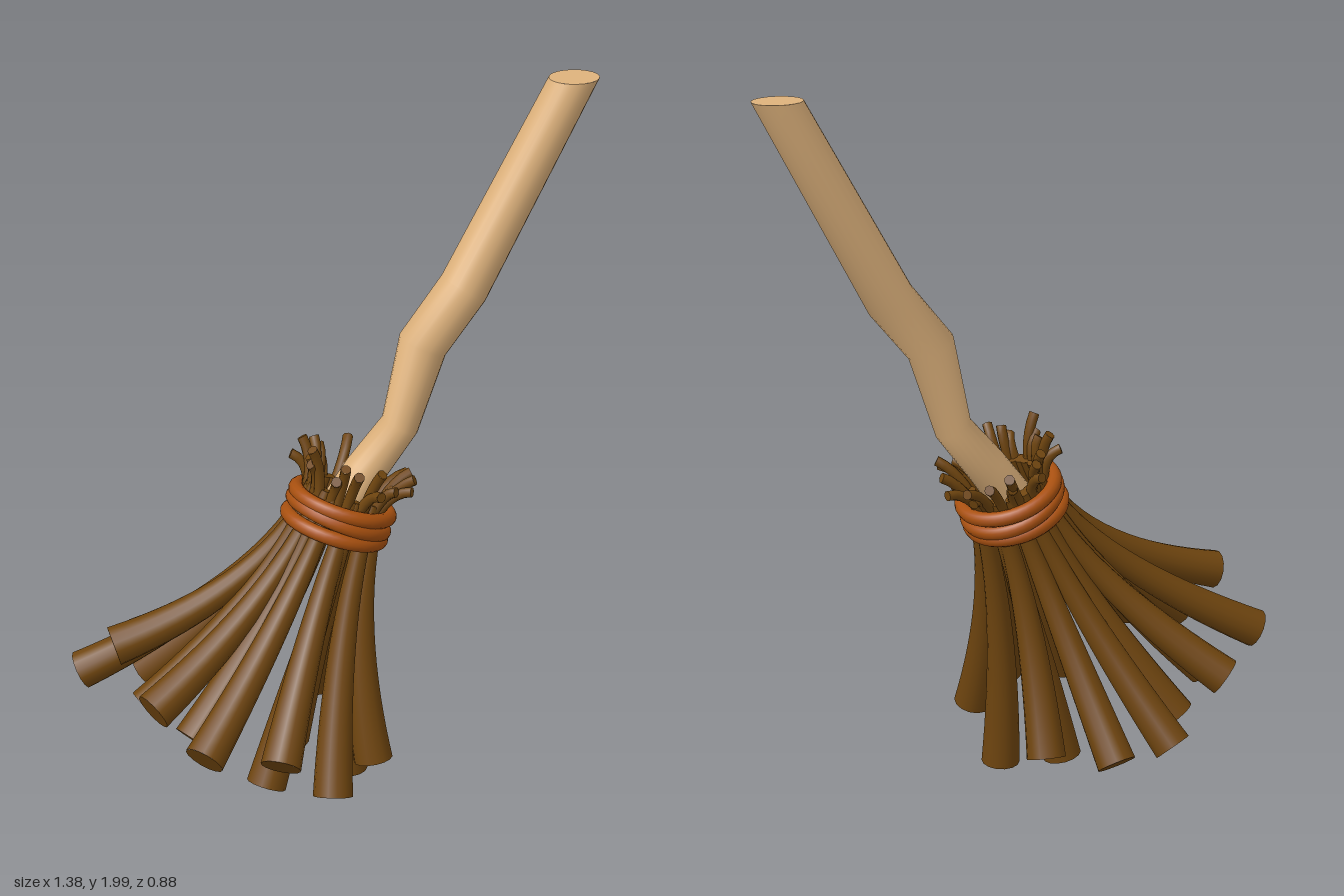
import * as THREE from 'three';
import { mergeGeometries } from 'three/addons/utils/BufferGeometryUtils.js';

const V = (x, y, z) => new THREE.Vector3(x, y, z);

// Capped tube whose radius follows radiusAt(u) along the curve
function taperedTube(curve, segments, sides, radiusAt) {
  const tube = new THREE.TubeGeometry(curve, segments, 1, sides);
  const pos = tube.attributes.position;
  const v = V(0, 0, 0);
  for (let i = 0; i <= segments; i++) {
    const p = curve.getPointAt(i / segments);
    for (let j = 0; j <= sides; j++) {
      const k = i * (sides + 1) + j;
      v.fromBufferAttribute(pos, k).sub(p).multiplyScalar(radiusAt(i / segments)).add(p);
      pos.setXYZ(k, v.x, v.y, v.z);
    }
  }
  const caps = [0, 1].map((u) => {
    const dir = curve.getTangentAt(u).multiplyScalar(u ? 1 : -1);
    const p = curve.getPointAt(u);
    return new THREE.CircleGeometry(radiusAt(u), sides)
      .applyQuaternion(new THREE.Quaternion().setFromUnitVectors(V(0, 0, 1), dir))
      .translate(p.x, p.y, p.z);
  });
  return mergeGeometries([tube, ...caps]);
}

export function createModel() {
  const model = new THREE.Group();
  const wood = new THREE.MeshStandardMaterial({ color: 0xdeb27c });
  const bark = new THREE.MeshStandardMaterial({ color: 0x6f450f });
  const cord = new THREE.MeshStandardMaterial({ color: 0xa8500f });
  const add = (name, geometry, material, parent = model) => {
    const mesh = new THREE.Mesh(geometry, material);
    mesh.name = name;
    parent.add(mesh);
    return mesh;
  };
  const addGroup = (name) => {
    const g = new THREE.Group();
    g.name = name;
    model.add(g);
    return g;
  };

  // Crooked handle: one ring of vertices per bend
  const bends = [
    V(-0.03, 0.8, 0.065), V(0.07, 0.935, 0.075), V(0.165, 1.06, 0.1),
    V(0.22, 1.295, 0.123), V(0.335, 1.44, 0.143), V(0.62, 1.99, 0.21),
  ];
  const handleRadii = [0.062, 0.058, 0.053, 0.068, 0.068, 0.06];
  const handleCurve = new THREE.CatmullRomCurve3(bends);
  handleCurve.getUtoTmapping = (u) => u;
  const handle = taperedTube(handleCurve, 5, 20, (u) => handleRadii[Math.round(u * 5)]);
  // Cut the top of the handle level
  const along = bends[5].clone().sub(bends[4]);
  const hp = handle.attributes.position;
  for (let i = 0; i < hp.count; i++) {
    if (hp.getY(i) < 1.8) continue;
    const t = (1.995 - hp.getY(i)) / along.y;
    hp.setXYZ(i, hp.getX(i) + along.x * t, 1.995, hp.getZ(i) + along.z * t);
  }
  // The top cap holds the last 22 vertices
  for (let i = hp.count - 22; i < hp.count; i++) handle.attributes.normal.setXYZ(i, 0, 1, 0);
  add('handle', handle, wood);

  // Tilted frame of the binding: axis up the broom, side across it
  const centre = V(-0.01, 0.82, 0.065);
  const axis = V(0.39, 0.92, 0).normalize();
  const side = V(axis.y, -axis.x, 0);
  const inBinding = (angle, radius, height) => centre.clone()
    .addScaledVector(side, Math.cos(angle) * radius)
    .addScaledVector(axis, height)
    .add(V(0, 0, Math.sin(angle) * radius));

  // Three cord loops
  const binding = addGroup('binding');
  [-0.035, 0, 0.035].forEach((h, i) => {
    const loop = add('cordLoop', new THREE.TorusGeometry(0.134, 0.021, 12, 40).rotateX(Math.PI / 2), cord, binding);
    loop.position.copy(centre).addScaledVector(axis, h);
    loop.rotation.z = Math.atan2(-axis.x, axis.y) + [0.03, -0.06, 0.03][i];
  });

  // Thick bristles sweeping out to their tips
  const tips = [
    [-0.66, 0.365, -0.25], [-0.42, 0.325, -0.38], [-0.21, 0.18, -0.4], [-0.045, 0.16, -0.355],
    [0.05, 0.135, -0.165], [-0.31, 0.21, -0.3], [-0.46, 0.3, -0.25], [-0.63, 0.51, -0.1],
    [-0.595, 0.36, 0.01], [-0.64, 0.43, 0.135], [-0.54, 0.325, 0.17], [-0.585, 0.355, 0.31],
    [-0.4, 0.315, 0.395], [-0.22, 0.14, 0.37], [-0.02, 0.13, 0.265], [-0.36, 0.16, 0.25],
    [0, 0.006, 0.107], [-0.1, 0.055, -0.05],
  ];
  const bristles = addGroup('bristles');
  for (const tip of tips) {
    const end = V(...tip);
    const out = end.clone().sub(centre);
    const angle = Math.atan2(out.z, out.dot(side));
    const curve = new THREE.QuadraticBezierCurve3(
      inBinding(angle, 0.1, 0.07), inBinding(angle, 0.11, -0.25), end);
    add('bristle', taperedTube(curve, 16, 14, (u) => 0.018 + 0.037 * u), bark, bristles);
  }

  // Thin twig ends fanning out above the binding
  const fringe = addGroup('fringe');
  const count = 24;
  for (let i = 0; i < count; i++) {
    const angle = (i / count) * Math.PI * 2;
    const vary = Math.sin(i * 2.4);
    const curve = new THREE.QuadraticBezierCurve3(
      inBinding(angle, 0.1, -0.03),
      inBinding(angle + 0.1 * vary, 0.1, 0.11),
      inBinding(angle + 0.15 * vary, 0.16 + 0.02 * Math.cos(i * 1.7), 0.145 + 0.03 * vary));
    add('twigEnd', taperedTube(curve, 8, 8, () => 0.0145), bark, fringe);
  }

  return model;
}
